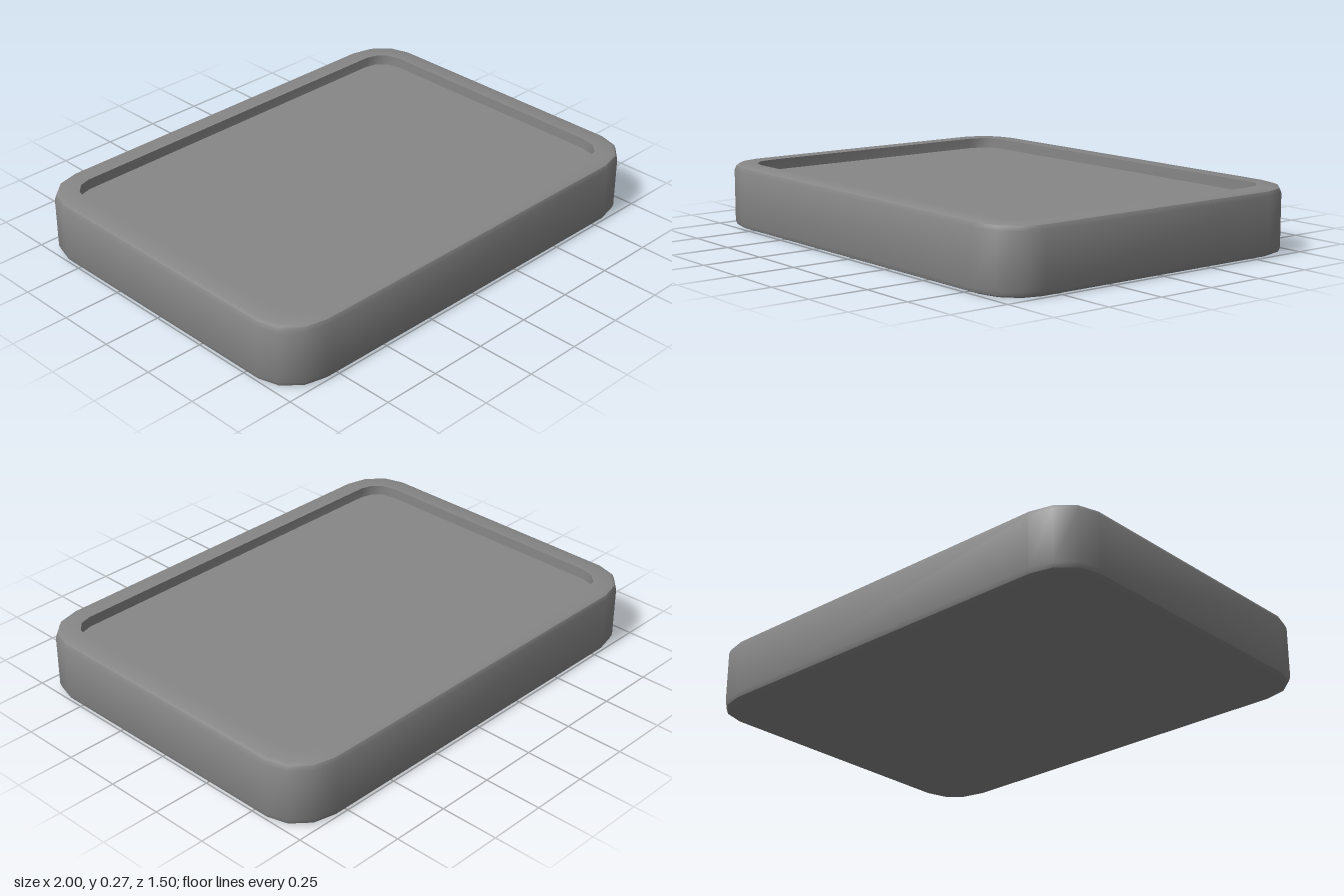
import * as THREE from 'three';
import { toCreasedNormals } from 'three/addons/utils/BufferGeometryUtils.js';

const HEIGHT = 0.27, BEVEL = 0.025, BEVEL_STEPS = 2, FLOOR_Y = 0.225;
const CORNER_STEPS = 3, SIDES = 4 * (CORNER_STEPS + 1);

// Rounded rectangle: half sizes hx, hz with elliptical corners rx, rz at height y
function ring(y, hx, hz, rx, rz) {
  const points = [];
  for (let q = 0; q < 4; q++) {
    const sx = q === 0 || q === 3 ? 1 : -1, sz = q < 2 ? 1 : -1;
    for (let k = 0; k <= CORNER_STEPS; k++) {
      const a = (q + k / CORNER_STEPS) * Math.PI / 2;
      points.push([sx * (hx - rx) + rx * Math.cos(a), y, sz * (hz - rz) + rz * Math.sin(a)]);
    }
  }
  return points;
}

const outerRing = (y, inset) => ring(y, 1 - inset, 0.75 - inset, 0.195 - inset, 0.178 - inset);
const innerRing = (y) => ring(y, 0.905, 0.655, 0.1, 0.107);

function buildGeometry(positions, index) {
  const geometry = new THREE.BufferGeometry();
  geometry.setAttribute('position', new THREE.Float32BufferAttribute(positions, 3));
  geometry.setIndex(index);
  return toCreasedNormals(geometry, THREE.MathUtils.degToRad(40));
}

// Skin a stack of rings
function loft(rings) {
  const index = [];
  for (let j = 0; j < (rings.length - 1) * SIDES; j += SIDES) {
    for (let i = 0; i < SIDES; i++) {
      const n = (i + 1) % SIDES;
      index.push(j + i, j + SIDES + i, j + n, j + n, j + SIDES + i, j + SIDES + n);
    }
  }
  return buildGeometry(rings.flat(2), index);
}

// Flat panel filling one ring, facing up or down
function panel(points, facesUp) {
  const index = [];
  for (let i = 0; i < SIDES; i++) {
    const n = (i + 1) % SIDES;
    index.push(SIDES, facesUp ? n : i, facesUp ? i : n);
  }
  return buildGeometry([...points.flat(), 0, points[0][1], 0], index);
}

export function createModel() {
  const group = new THREE.Group();
  group.name = 'tray';
  const material = new THREE.MeshStandardMaterial({ color: 0x878787 });
  const add = (name, geometry) => {
    const mesh = new THREE.Mesh(geometry, material);
    mesh.name = name;
    group.add(mesh);
  };

  // Body: rounded bottom edge, upright sides, rounded top edge, rim, recess wall
  const rings = [];
  for (const top of [false, true]) {
    for (let k = 0; k <= BEVEL_STEPS; k++) {
      const a = (top ? k : BEVEL_STEPS - k) / BEVEL_STEPS * Math.PI / 2;
      const rise = BEVEL * (1 - Math.sin(a));
      rings.push(outerRing(top ? HEIGHT - rise : rise, BEVEL * (1 - Math.cos(a))));
    }
  }
  rings.push(innerRing(HEIGHT), innerRing(FLOOR_Y));
  add('trayBody', loft(rings));

  // Flat underside and floor of the recess
  add('underside', panel(rings[0], false));
  add('recessFloor', panel(innerRing(FLOOR_Y), true));
  return group;
}
